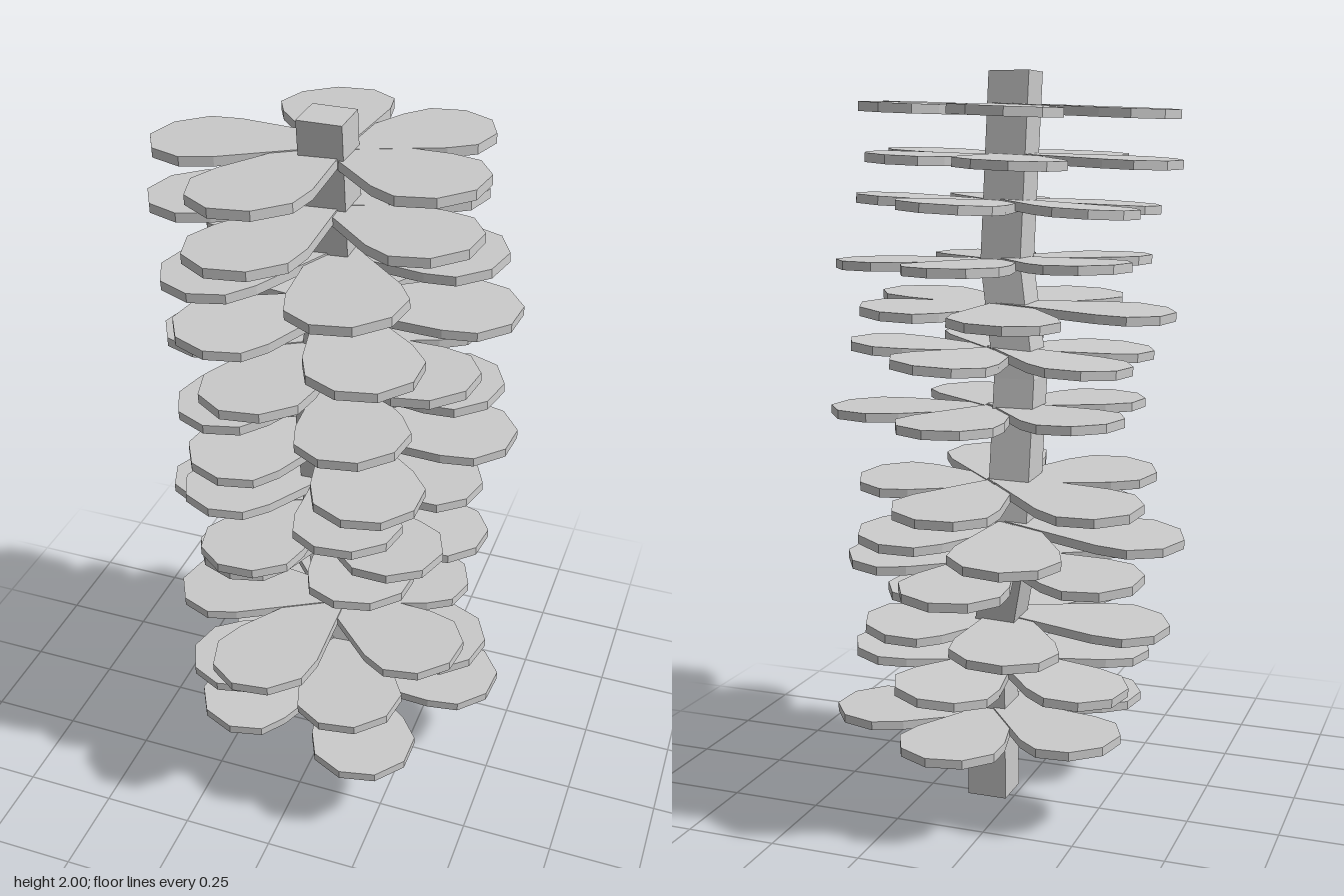
import * as THREE from 'three';

const mat = new THREE.MeshStandardMaterial({ color: 0xcccccc, flatShading: true });

// Stalk: square sections [x, y, z] joined into one bent post
function makeStalk() {
  const path = [[0.072, 0, 0.027], [0.073, 0.36, 0.022], [-0.015, 0.73, -0.062],
    [-0.015, 1.2, 0.01], [0.038, 1.5, 0.05], [0.025, 2, 0.082]];
  const h = 0.056, pos = [], idx = [];
  const corners = [[-h, -h], [-h, h], [h, h], [h, -h]];
  for (const [x, y, z] of path) for (const [a, b] of corners) pos.push(x + a, y, z + b);
  for (let i = 0; i < path.length - 1; i++) {
    for (let k = 0; k < 4; k++) {
      const a = i * 4 + k, b = i * 4 + (k + 1) % 4;
      idx.push(a, b, b + 4, a, b + 4, a + 4);
    }
  }
  const t = (path.length - 1) * 4;
  idx.push(0, 2, 1, 0, 3, 2, t, t + 1, t + 2, t, t + 2, t + 3);
  let g = new THREE.BufferGeometry();
  g.setAttribute('position', new THREE.Float32BufferAttribute(pos, 3));
  g.setIndex(idx);
  g = g.toNonIndexed();
  g.computeVertexNormals();
  const stalk = new THREE.Mesh(g, mat);
  stalk.name = 'stalk';
  return stalk;
}

// Leaf: a flat wedge with a rounded angular tip, pointing along +x
const LEAF_LENGTH = 0.44, THICK = 0.024;
function makeLeafGeometry() {
  const half = [[-0.04, 0.025], [0.25, 0.133], [0.33, 0.143], [0.408, 0.092]];
  const outline = [...half.map(([x, y]) => [x, -y]), [LEAF_LENGTH, 0], ...half.slice().reverse()];
  const shape = new THREE.Shape(outline.map(([x, y]) => new THREE.Vector2(x, y)));
  const g = new THREE.ExtrudeGeometry(shape, { depth: THICK, bevelEnabled: false });
  g.translate(0, 0, -THICK / 2);
  g.rotateX(-Math.PI / 2);
  return g;
}

// Whorl types: leaf angles (degrees from +x towards +z), leaf lengths, slopes along x and z
const regular = (start) => [0, 1, 2, 3, 4].map((k) => start + 72 * k);
const types = {
  flat: { angles: [-16, 58, 133, 211, 278], lengths: [0.47, 0.455, 0.425, 0.41, 0.43], slope: [0, 0] },
  leaning: { angles: regular(-7), lengths: [0.43, 0.44, 0.44, 0.425, 0.43], slope: [0.055, 0] },
  uneven: { angles: [26, 106, 172, 252, 321], lengths: [0.44, 0.47, 0.452, 0.415, 0.405], slope: [0.047, 0.03] },
  backLow: { angles: regular(-85), lengths: [0.435, 0.425, 0.41, 0.42, 0.44], slope: [0.01, 0.05] },
  backMid: { angles: [37, 110, 180, 256, 321], lengths: [0.455, 0.445, 0.46, 0.435, 0.435], slope: [0.04, 0.048] },
  backHigh: { angles: [-6, 66, 138, 207, 282], lengths: [0.405, 0.435, 0.44, 0.45, 0.415], slope: [0.02, 0.055] },
};

// Whorls from bottom to top: type, centre x, y, z
const whorls = [
  ['flat', 0.033, 0.253, 0.005], ['leaning', 0.03, 0.408, 0.0], ['uneven', 0.025, 0.527, 0.015],
  ['backLow', 0.0, 0.722, -0.085], ['backMid', -0.032, 0.81, -0.072], ['backHigh', 0.0, 0.918, -0.075],
  ['flat', 0.033, 1.108, 0.005], ['leaning', 0.03, 1.263, 0.0], ['uneven', 0.025, 1.382, 0.015],
  ['flat', 0.033, 1.5, 0.052], ['leaning', 0.03, 1.653, 0.05], ['uneven', 0.025, 1.773, 0.063],
  ['uneven', 0.025, 1.9, 0.03],
];

export function createModel() {
  const model = new THREE.Group();
  model.name = 'leafyStalk';
  model.add(makeStalk());
  const leafGeometry = makeLeafGeometry();
  whorls.forEach(([type, x, y, z], i) => {
    const { angles, lengths, slope } = types[type];
    const whorl = new THREE.Group();
    whorl.name = `leafWhorl${i + 1}`;
    whorl.position.set(x, y, z);
    whorl.rotation.set(-slope[1], 0, slope[0]);
    angles.forEach((deg, k) => {
      const leaf = new THREE.Mesh(leafGeometry, mat);
      const angle = THREE.MathUtils.degToRad(deg);
      leaf.name = `leaf${k + 1}`;
      leaf.rotation.y = -angle;
      // Slight stagger so neighbouring leaves overlap at the stalk
      leaf.position.y = -0.004 * Math.cos(angle);
      leaf.scale.x = lengths[k] / LEAF_LENGTH;
      whorl.add(leaf);
    });
    model.add(whorl);
  });
  return model;
}
